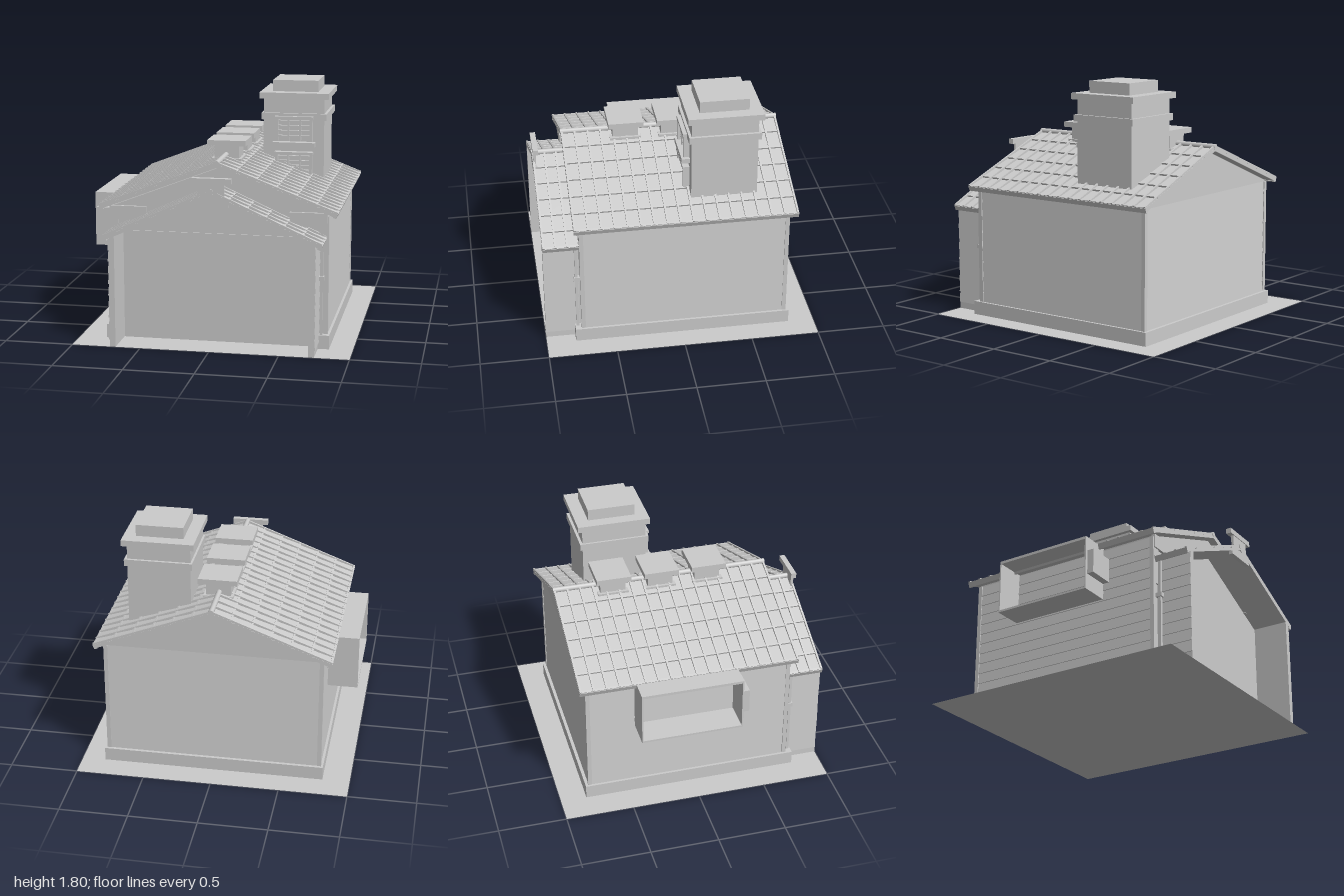
import * as THREE from 'three';

export function createModel() {
  const model = new THREE.Group();
  const plaster = new THREE.MeshStandardMaterial({ color: 0xcccccc, side: THREE.DoubleSide });
  plaster.name = 'plain grey';
  const CX = 0.015; // centre line of the house

  const add = (name, geo, parent = model) => {
    const m = new THREE.Mesh(geo, plaster);
    m.name = name;
    parent.add(m);
    return m;
  };
  // box given by its limits on each axis
  const box = (name, x0, x1, y0, y1, z0, z1, parent = model) => {
    const m = add(name, new THREE.BoxGeometry(x1 - x0, y1 - y0, z1 - z0), parent);
    m.position.set((x0 + x1) / 2, (y0 + y1) / 2, (z0 + z1) / 2);
    return m;
  };
  const extrude = (points, depth) => new THREE.ExtrudeGeometry(
    new THREE.Shape(points.map(p => new THREE.Vector2(p[0], p[1]))), { depth, bevelEnabled: false });

  // ground sheet
  add('ground', new THREE.PlaneGeometry(2, 2).rotateX(-Math.PI / 2));

  // house body with gable ends, and its plinth
  const body = add('houseWalls', extrude(
    [[-0.775, 0], [0.805, 0], [0.805, 0.97], [CX, 1.275], [-0.775, 0.97]], 1.51));
  body.position.z = -0.78;
  box('plinth', -0.8, 0.83, 0, 0.1, -0.81, 0.72);
  for (const s of [-1, 1]) {
    const x = CX + s * 0.765;
    box('plinthCorner', x - 0.05, x + 0.05, 0, 0.1, 0.7, 0.785);
  }
  box('backWallPanel', -0.67, 0.7, 0, 0.8, 0.72, 0.738);

  // overlapping weatherboards: a sawtooth profile run along a wall
  const siding = (name, length, y0, y1, count) => {
    const pts = [[-0.01, y0]];
    const h = (y1 - y0) / count;
    for (let i = 0; i < count; i++) pts.push([0.009, y0 + i * h], [0.002, y0 + (i + 1) * h]);
    pts.push([-0.01, y1]);
    const geo = extrude(pts, length);
    geo.translate(0, 0, -length / 2);
    return add(name, geo);
  };
  const rightBoards = siding('rightWeatherboards', 1.5, 0.1, 0.96, 11);
  rightBoards.position.set(0.803, 0, -0.03);
  const leftBoards = siding('leftWeatherboards', 1.5, 0.1, 0.96, 11);
  leftBoards.position.set(-0.773, 0, -0.03);
  leftBoards.rotation.y = Math.PI;
  const backBoards = siding('backWeatherboards', 1.57, 0.1, 0.96, 11);
  backBoards.position.set(CX, 0, -0.778);
  backBoards.rotation.y = Math.PI / 2;

  // corner boards, front frieze and brackets
  for (const s of [-1, 1]) {
    const x = CX + s * 0.785;
    for (const z of [-0.775, 0.725])
      box('cornerBoard', x - 0.015, x + 0.015, 0.1, 0.96, z - 0.015, z + 0.015);
    const f = [CX + s * 0.52, CX + s * 0.79].sort((a, b) => a - b);
    box('frontFrieze', f[0], f[1], 0.88, 0.98, 0.72, 0.75);
    const b = CX + s * 0.755;
    box('frontBracket', b - 0.025, b + 0.025, 0.61, 0.9, 0.7, 0.74);
    box('frontPost', b - 0.01, b + 0.01, 0.1, 0.8, 0.755, 0.775);
    box('frontPostFoot', b - 0.018, b + 0.018, 0.5, 0.53, 0.74, 0.785);
  }

  // tiled gable roof: slab, overlapping courses, ribs, edge rolls and ridge
  const roof = (name, half, ridgeY, slope, z0, z1, courses, ribs) => {
    const g = new THREE.Group();
    g.name = name;
    g.position.set(CX, ridgeY, 0);
    model.add(g);
    const angle = Math.atan(slope);
    const len = half / Math.cos(angle);
    const depth = z1 - z0;
    const step = len / courses;
    for (const s of [-1, 1]) {
      const side = new THREE.Group();
      side.name = s < 0 ? 'leftSlope' : 'rightSlope';
      side.rotation.z = -s * angle;
      g.add(side);
      const span = (n, a, b, y0, y1, za, zb) =>
        box(n, Math.min(s * a, s * b), Math.max(s * a, s * b), y0, y1, za, zb, side);
      span('roofSlab', 0, len, -0.024, -0.004, z0, z1);
      for (let i = 0; i < courses; i++) {
        const tile = extrude([[s * i * step, -0.006], [s * (i + 1) * step, -0.006],
          [s * (i + 1) * step, 0.007], [s * i * step, -0.002]], depth);
        add('tileCourse', tile, side).position.z = z0;
        span('courseLip', (i + 1) * step - 0.014, (i + 1) * step, 0, 0.011, z0, z1);
      }
      for (let i = 0; i <= ribs; i++) {
        const z = z0 + 0.008 + (depth - 0.016) * i / ribs;
        span('tileRib', 0.01, len, 0, 0.017, z - 0.007, z + 0.007);
      }
      span('eaveBoard', len - 0.02, len + 0.004, -0.03, 0.006, z0, z1);
    }
    const ridge = add('ridgeRoll', new THREE.CylinderGeometry(0.02, 0.02, depth + 0.006, 10), g);
    ridge.rotation.x = Math.PI / 2;
    ridge.position.set(0, 0.006, (z0 + z1) / 2);
  };
  roof('mainRoof', 0.86, 1.31, 0.385, -0.84, 0.78, 6, 17);
  roof('porchRoof', 0.78, 1.15, 0.45, 0.73, 1, 6, 3);

  // porch side walls, open at the front
  for (const s of [-1, 1]) {
    const x = CX + s * 0.715;
    box('porchWall', x - 0.02, x + 0.02, 0, 0.81, 0.73, 1);
    const boards = siding('porchWeatherboards', 0.25, 0.05, 0.79, 9);
    boards.position.set(x + s * 0.019, 0, 0.875);
    if (s < 0) boards.rotation.y = Math.PI;
  }

  // vents along the main ridge
  for (const z of [-0.41, -0.05, 0.31]) {
    box('ventNeck', CX - 0.085, CX + 0.095, 1.2, 1.39, z - 0.095, z + 0.095);
    box('ventCollar', CX - 0.105, CX + 0.115, 1.24, 1.29, z - 0.115, z + 0.115);
    box('ventCap', CX - 0.135, CX + 0.15, 1.385, 1.425, z - 0.13, z + 0.13);
  }

  // porch vent
  box('porchVentFoot', CX - 0.12, CX + 0.125, 1.045, 1.11, 0.97, 1);
  box('porchVentNeck', CX - 0.09, CX + 0.095, 1.1, 1.21, 0.975, 0.995);
  box('porchVentCap', CX - 0.135, CX + 0.145, 1.21, 1.25, 0.96, 1);

  // chimney tower
  box('tower', 0.21, 0.67, 1.02, 1.68, -0.57, -0.09);
  box('towerBand', 0.195, 0.69, 1.51, 1.56, -0.59, -0.07);
  box('towerCap', 0.18, 0.705, 1.67, 1.715, -0.605, -0.06);
  box('towerTop', 0.27, 0.615, 1.71, 1.8, -0.51, -0.155);

  // tower windows with glazing bars
  for (const [y0, y1] of [[1.09, 1.27], [1.35, 1.54]]) {
    for (const x of [0.305, 0.565]) box('windowJamb', x, x + 0.02, y0, y1, -0.09, -0.045);
    box('windowHead', 0.3, 0.59, y1 - 0.02, y1, -0.09, -0.04);
    for (const x of [0.395, 0.485]) box('glazingBar', x, x + 0.012, y0, y1, -0.09, -0.06);
    for (let i = 1; i < 5; i++) {
      const y = y0 + (y1 - y0) * i / 5;
      box('glazingBar', 0.32, 0.57, y - 0.005, y + 0.005, -0.09, -0.065);
    }
  }
  box('windowSill', 0.285, 0.605, 1.31, 1.345, -0.09, -0.03);

  // bay on the left wall, open on its outer side
  box('bayFloor', -1, -0.77, 0.58, 0.595, -0.43, 0.32);
  box('bayTop', -1, -0.77, 0.965, 0.985, -0.43, 0.32);
  box('bayBackSide', -1, -0.77, 0.58, 0.98, -0.43, -0.42);
  box('bayFrontSide', -1, -0.77, 0.58, 0.98, 0.31, 0.32);
  box('bayPanel', -0.98, -0.78, 0.7, 0.88, 0.32, 0.37);

  return model;
}
